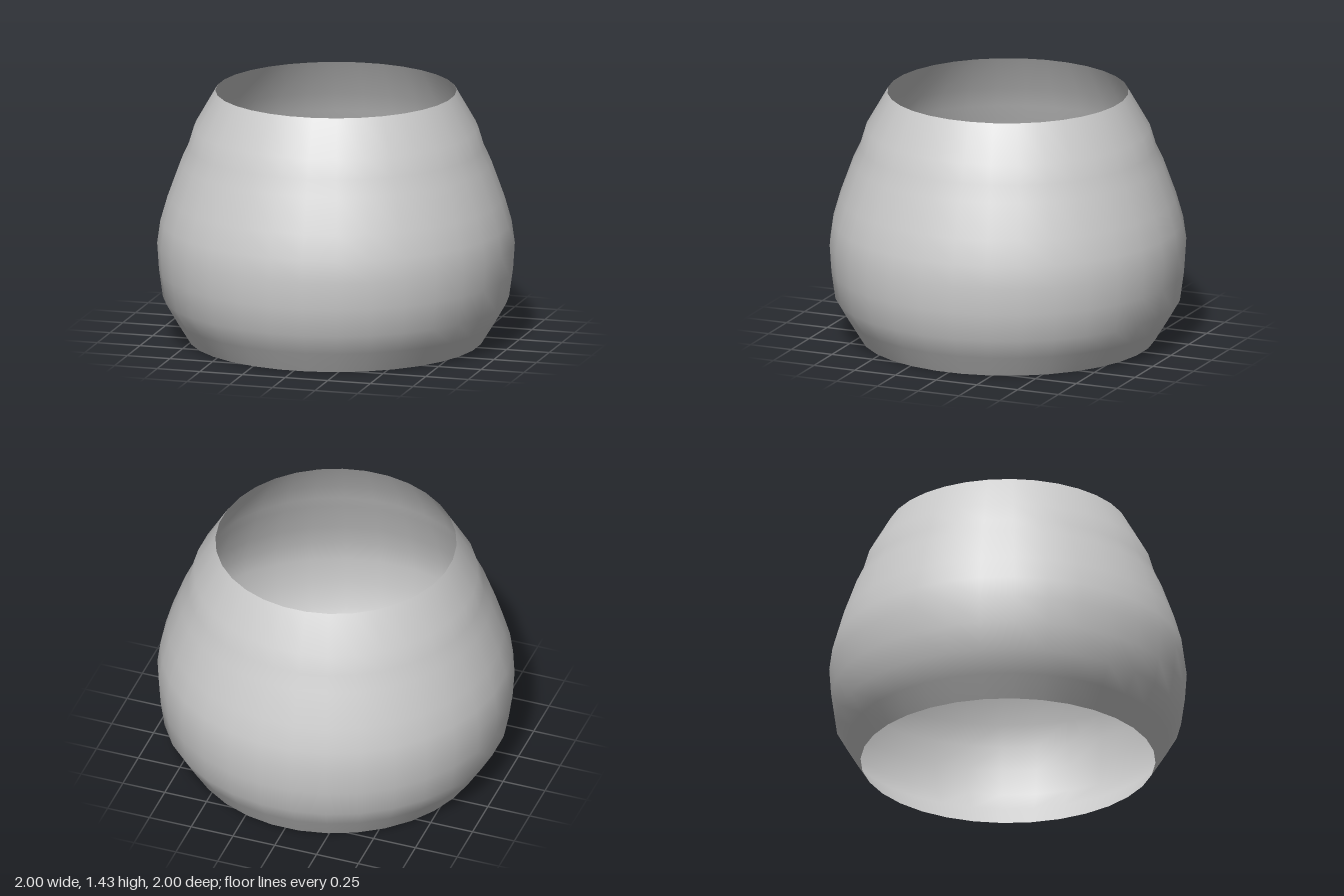
import * as THREE from 'three';

const SIDES = 32;

export function createModel() {
  const group = new THREE.Group();
  group.name = 'openVessel';

  const grey = new THREE.MeshStandardMaterial({ color: 0xcccccc, side: THREE.DoubleSide });
  grey.name = 'light grey';

  // Wall profile from the open base to the open rim: [half width, height]
  const profile = [
    [0.825, 0], [0.9, 0.122], [0.968, 0.24], [0.99, 0.4], [1, 0.55], [0.982, 0.68],
    [0.942, 0.82], [0.87, 1.02], [0.828, 1.11], [0.795, 1.22], [0.675, 1.43],
  ];

  // Flats face the axes, so corners sit slightly outside the half width
  const toCorner = 1 / Math.cos(Math.PI / SIDES);
  const points = profile.map(([r, y]) => new THREE.Vector2(r * toCorner, y));

  // Single-skin rounded wall, open at both ends
  const wall = new THREE.Mesh(new THREE.LatheGeometry(points, SIDES, Math.PI / SIDES), grey);
  wall.name = 'wall';
  group.add(wall);

  return group;
}
